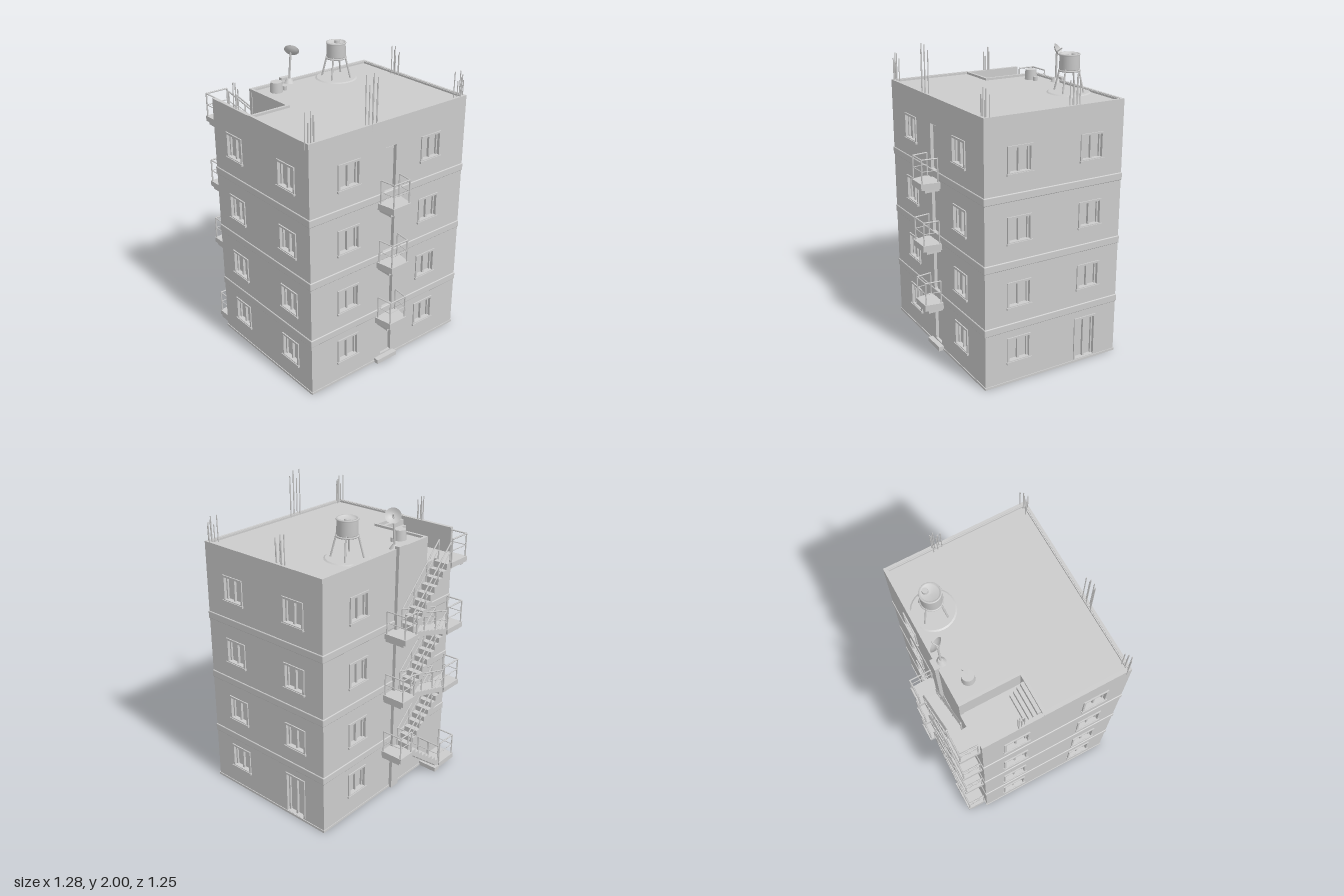
import * as THREE from 'three';
import { RoundedBoxGeometry } from 'three/addons/geometries/RoundedBoxGeometry.js';

const mat = new THREE.MeshStandardMaterial({ color: 0xcccccc });
const thin = new THREE.MeshStandardMaterial({ color: 0xcccccc, side: THREE.DoubleSide });
const V = (x, y, z) => new THREE.Vector3(x, y, z);

// Building limits
const X = 0.625, ZF = 0.505, ZB = -0.465, TOP = 1.7, T = 0.025;
const NX = -0.35, NZ = -0.07, NFLOOR = 1.53; // roof entrance well

function add(parent, name, geo, x = 0, y = 0, z = 0, m = mat) {
  const mesh = new THREE.Mesh(geo, m);
  mesh.name = name;
  mesh.position.set(x, y, z);
  parent.add(mesh);
  return mesh;
}
// Box given by its limits
function box(parent, name, x0, x1, y0, y1, z0, z1) {
  return add(parent, name, new THREE.BoxGeometry(x1 - x0, y1 - y0, z1 - z0),
    (x0 + x1) / 2, (y0 + y1) / 2, (z0 + z1) / 2);
}
// Round bar between two points
function rod(parent, name, a, b, r = 0.004, sides = 6) {
  const mesh = add(parent, name, new THREE.CylinderGeometry(r, r, a.distanceTo(b), sides));
  mesh.position.copy(a).lerp(b, 0.5);
  mesh.quaternion.setFromUnitVectors(V(0, 1, 0), b.clone().sub(a).normalize());
  return mesh;
}
// Railing along a path: posts, a handrail and a middle rail
function railing(parent, name, pts, h = 0.15) {
  const g = new THREE.Group();
  g.name = name;
  pts.forEach((p, i) => {
    rod(g, 'post', p, p.clone().setY(p.y + h), 0.005);
    if (!i) return;
    for (const k of [0.5, 1]) {
      const lift = V(0, h * k, 0);
      rod(g, 'rail', pts[i - 1].clone().add(lift), p.clone().add(lift), k === 1 ? 0.005 : 0.003);
    }
  });
  parent.add(g);
}
const rectPts = (x0, x1, y0, y1) => [[x0, y0], [x1, y0], [x1, y1], [x0, y1]].map(p => new THREE.Vector2(...p));
const extrude = (shape, depth) => new THREE.ExtrudeGeometry(shape, { depth, bevelEnabled: false });

// Wall with recessed openings; local z = 0 is the outer face
function wall(parent, name, outline, openings, x, z, turn) {
  const g = new THREE.Group();
  g.name = name;
  const shape = new THREE.Shape(outline);
  for (const { u, y0, y1, w, door, plain } of openings) {
    const hole = rectPts(u - w / 2, u + w / 2, y0, y1);
    shape.holes.push(new THREE.Path(hole));
    if (plain) {
      box(g, 'doorLeaf', u - w / 2 + 0.01, u + w / 2 - 0.01, y0, y1 - 0.012, -T, -T + 0.008);
      continue;
    }
    const frame = new THREE.Shape(rectPts(u - w / 2 - 0.013, u + w / 2 + 0.013, door ? y0 : y0 - 0.013, y1 + 0.013));
    frame.holes.push(new THREE.Path(hole));
    add(g, door ? 'doorFrame' : 'windowFrame', extrude(frame, 0.009), 0, 0, -0.001);
    box(g, 'mullion', u - 0.006, u + 0.006, y0, y1, -T, -0.008);
    for (const s of [-1, 1]) {
      const e = u + s * (w / 2 - 0.005);
      box(g, 'sash', e - 0.005, e + 0.005, y0, y1, -T, -0.012);
    }
    if (!door) box(g, 'windowSill', u - w / 2 - 0.018, u + w / 2 + 0.018, y0 - 0.018, y0 - 0.005, -0.002, 0.014);
  }
  add(g, 'wallPanel', extrude(shape, T), 0, 0, -T);
  g.position.set(x, 0, z);
  g.rotation.y = turn;
  parent.add(g);
}
const sills = [0.155, 0.525, 0.94, 1.365];
const windows = (...us) => us.flatMap(u => sills.map(y => ({ u, y0: y, y1: y + 0.145, w: 0.142 })));

// L-shaped roof outline, drawn in x and z, pulled in by d
const roofOutline = d => [[-X + d, NZ + d], [NX + d, NZ + d], [NX + d, ZB + d], [X - d, ZB + d], [X - d, ZF - d], [-X + d, ZF - d]]
  .map(p => new THREE.Vector2(...p));

function buildBody(root) {
  const g = new THREE.Group();
  g.name = 'building';
  root.add(g);
  box(g, 'core', -X + T, X - T, 0, NFLOOR, ZB + T, ZF - T);
  add(g, 'roofDeck', extrude(new THREE.Shape(roofOutline(0.004)), 0.16).rotateX(Math.PI / 2), 0, 1.688, 0);
  const rim = new THREE.Shape(roofOutline(0));
  rim.holes.push(new THREE.Path(roofOutline(0.018)));
  add(g, 'roofRim', extrude(rim, 0.02).rotateX(Math.PI / 2), 0, TOP + 0.003, 0);

  const zc = (ZF + ZB) / 2, hz = (ZF - ZB) / 2 - T;
  const doors = [[0.04, 0.28], [0.35, 0.69], [0.77, 1.1], [1.18, 1.53]]
    .map(([y0, y1]) => ({ u: -0.008, y0, y1, w: 0.088, plain: true }));
  wall(g, 'frontWall', rectPts(-X, X, 0, TOP), [...windows(-0.335, 0.325), ...doors], 0, ZF, 0);
  const back = [[-X, 0], [X, 0], [X, NFLOOR], [-NX, NFLOOR], [-NX, TOP], [-X, TOP]].map(p => new THREE.Vector2(...p));
  wall(g, 'backWall', back, windows(-0.31), 0, ZB, Math.PI);
  const side = rectPts(-hz, hz, 0, TOP);
  const sideDoor = { u: 0.245, y0: 0.025, y1: 0.3, w: 0.14, door: true };
  wall(g, 'leftWall', side, [...windows(-0.25), ...windows(0.255).slice(1), sideDoor], X, zc, Math.PI / 2);
  wall(g, 'rightWall', side, windows(-0.26, 0.27), -X, zc, -Math.PI / 2);
  box(g, 'wellEndPost', -X, -X + T, NFLOOR, TOP, ZB, ZB + T);

  // Soft bands at each floor
  for (const y of [0.385, 0.795, 1.215])
    add(g, 'floorBand', new RoundedBoxGeometry(2 * X + 0.012, 0.05, ZF - ZB + 0.012, 3, 0.006), 0, y, zc);
  box(g, 'plinth', -X - 0.005, X + 0.005, 0, 0.015, ZB - 0.005, ZF + 0.005);
  box(g, 'frontStep', -0.105, 0.06, 0, 0.03, ZF, ZF + 0.035);
  box(g, 'backPilaster', -0.1, -0.03, 0, TOP + 0.02, ZB - 0.022, ZB + 0.01);
  // Steps from the well up to the roof
  for (let i = 0; i < 4; i++)
    box(g, 'roofStep', -0.59, -0.385, NFLOOR, NFLOOR + 0.038 * (i + 1), -0.16 + 0.0225 * i, NZ);
}

function buildBalcony(root, y) {
  const g = new THREE.Group();
  g.name = 'balcony';
  const s = new THREE.Shape([[-0.105, 0], [0.075, 0], [0.055, 0.122], [-0.085, 0.122]].map(p => new THREE.Vector2(...p)));
  add(g, 'balconySlab', extrude(s, 0.042).rotateX(Math.PI / 2), 0, 0, ZF);
  for (const x of [-0.075, 0.045])
    box(g, 'balconyBracket', x - 0.014, x + 0.014, -0.06, -0.04, ZF, ZF + 0.1);
  const pts = [[-0.09, ZF + 0.01], [-0.078, ZF + 0.112], [0.048, ZF + 0.112], [0.06, ZF + 0.01]].map(([x, z]) => V(x, 0, z));
  railing(g, 'balconyRailing', pts, 0.152);
  g.position.y = y;
  root.add(g);
}

const XA = -0.07, XB = -0.43; // flight ends
function buildLanding(root, x0, x1, y, zOut, open) {
  const g = new THREE.Group();
  g.name = 'stairLanding';
  box(g, 'landingSlab', x0, x1, y - 0.035, y, zOut, ZB + 0.005);
  if (y > 0.1) for (const x of [x0 + 0.02, x1 - 0.02])
    box(g, 'landingBracket', x - 0.012, x + 0.012, y - 0.055, y - 0.03, zOut + 0.02, ZB);
  const far = open < 0 ? x1 - 0.008 : x0 + 0.008, near = open < 0 ? x0 + 0.008 : x1 - 0.008;
  railing(g, 'landingRailing', [V(far, y, ZB - 0.01), V(far, y, zOut + 0.01), V(near, y, zOut + 0.01)]);
  root.add(g);
}
function buildFlight(root, xLow, yLow, xHigh, yHigh) {
  const g = new THREE.Group();
  g.name = 'stairFlight';
  const n = 9, dx = (xHigh - xLow) / n, dy = (yHigh - yLow) / n, z0 = -0.59, z1 = -0.49;
  // Sloped slab under the treads
  const s = new THREE.Shape([[xLow, yLow - 0.03], [xHigh, yHigh - 0.03], [xHigh, yHigh - 0.005], [xLow, yLow - 0.005]]
    .map(p => new THREE.Vector2(...p)));
  add(g, 'stairSlab', extrude(s, z1 - z0), 0, 0, z0);
  for (let i = 0; i < n; i++) {
    const a = xLow + dx * i, b = a + dx, y = yLow + dy * (i + 1);
    box(g, 'tread', Math.min(a, b), Math.max(a, b), y - dy - 0.008, y, z0, z1);
  }
  for (const z of [z0 + 0.006, z1 - 0.006])
    railing(g, 'flightRailing', [0, 0.33, 0.67, 1].map(t => V(xLow + (xHigh - xLow) * t, yLow + (yHigh - yLow) * t, z)), 0.13);
  root.add(g);
}
function buildStairs(root) {
  const low = [0.05, 0.65, 1.08, 1.54], mid = [0.33, 0.75, 1.18];
  low.forEach(y => buildLanding(root, -0.6, XB, y, -0.6, 1));
  mid.forEach((y, i) => {
    buildLanding(root, XA, 0.06, y, -0.625, -1);
    buildFlight(root, XB, low[i], XA, y);
    buildFlight(root, XA, y, XB, low[i + 1]);
  });
  box(root, 'bottomStep', XB, -0.38, 0, 0.03, -0.6, ZB);
  box(root, 'stairFoot', -0.6, XB, 0, 0.02, -0.58, ZB);
}

function buildRoofItems(root) {
  // Water tank on splayed legs
  const tank = new THREE.Group();
  tank.name = 'waterTank';
  const prof = [[0, 0], [0.058, 0], [0.065, 0.008], [0.063, 0.09], [0.068, 0.095], [0.066, 0.102], [0.055, 0.102], [0.053, 0.09], [0, 0.085]];
  add(tank, 'tankDrum', new THREE.LatheGeometry(prof.map(p => new THREE.Vector2(...p)), 24), 0, 0.13, 0, thin);
  add(tank, 'tankLid', new THREE.CylinderGeometry(0.018, 0.02, 0.02, 12), 0.025, 0.225, -0.02);
  add(tank, 'tankRing', new THREE.TorusGeometry(0.066, 0.006, 6, 24).rotateX(Math.PI / 2), 0, 0.128, 0);
  for (let i = 0; i < 4; i++) {
    const a = Math.PI / 4 + i * Math.PI / 2 + 0.2, c = Math.cos(a), s = Math.sin(a);
    rod(tank, 'tankLeg', V(c * 0.1, -0.01, s * 0.1), V(c * 0.062, 0.14, s * 0.062), 0.006);
  }
  add(tank, 'tankBase', new THREE.CylinderGeometry(0.13, 0.14, 0.006, 28), 0, -0.008, 0);
  tank.position.set(0.25, 1.7, -0.32);
  root.add(tank);

  // Satellite dish
  rod(root, 'dishMast', V(-0.06, 1.68, -0.43), V(-0.045, 1.89, -0.425), 0.007, 8);
  add(root, 'dishFoot', new THREE.CylinderGeometry(0.015, 0.035, 0.03, 10), -0.06, 1.705, -0.43);
  const dish = new THREE.Group();
  dish.name = 'dish';
  const bowl = [[0, 0], [0.02, 0.003], [0.037, 0.011], [0.05, 0.022]].map(p => new THREE.Vector2(...p));
  add(dish, 'dishBowl', new THREE.LatheGeometry(bowl, 20), 0, 0, 0, thin);
  rod(dish, 'dishArm', V(0, 0, 0), V(0, 0.05, 0), 0.004);
  dish.position.set(-0.045, 1.89, -0.42);
  dish.quaternion.setFromUnitVectors(V(0, 1, 0), V(0.6, 0.55, -0.5).normalize());
  root.add(dish);

  add(root, 'roofVent', new THREE.CylinderGeometry(0.038, 0.042, 0.07, 18), -0.225, 1.72, -0.34);
  add(root, 'smallVent', new THREE.CylinderGeometry(0.014, 0.014, 0.03, 10), -0.163, 1.7, -0.335);

  // Bare reinforcing bars: x, z, spread in x, spread in z, top
  const bars = [[-0.595, 0.485, 0.03, 0.012, 1.88], [-0.15, 0.492, 0.045, 0.01, 2], [0.585, 0.48, 0.035, 0.015, 1.86],
    [0.6, -0.115, 0.012, 0.03, 1.88], [-0.612, -0.21, 0.008, 0.02, 1.86]];
  for (const [x, z, sx, sz, top] of bars) {
    const g = new THREE.Group();
    g.name = 'rebarCluster';
    for (let i = 0; i < 6; i++) {
      const px = x + sx * (i / 2.5 - 1), pz = z + sz * (((i * 2) % 5) / 2 - 1);
      rod(g, 'rebar', V(px, 1.66, pz), V(px + 0.003, top - 0.03 * ((i * 2) % 3), pz), 0.0035, 5);
    }
    root.add(g);
  }
}

export function createModel() {
  const root = new THREE.Group();
  root.name = 'apartmentBlock';
  buildBody(root);
  [0.355, 0.77, 1.18].forEach(y => buildBalcony(root, y));
  buildStairs(root);
  buildRoofItems(root);
  return root;
}
